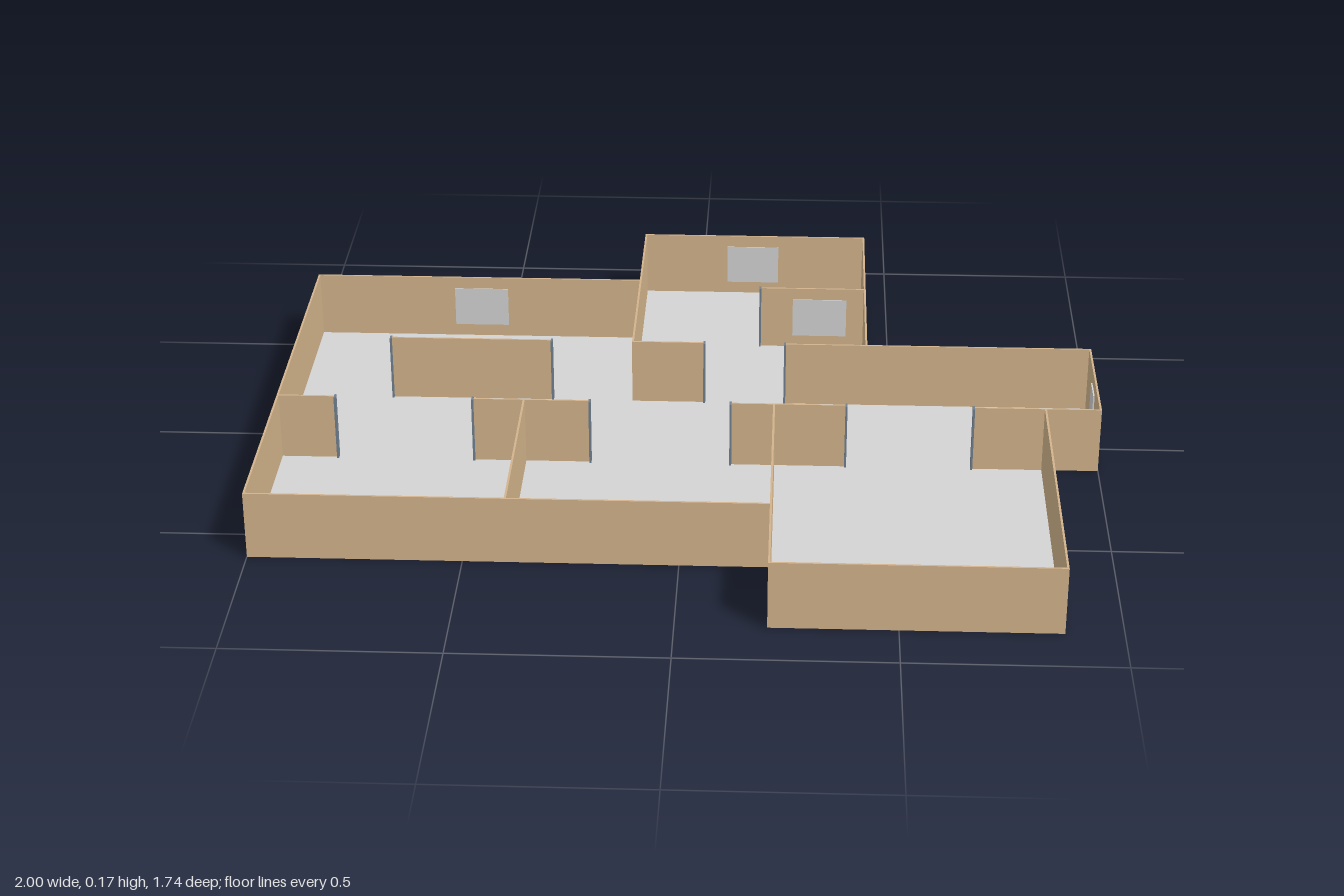
import * as THREE from 'three';

const HEIGHT = 0.168, THICK = 0.005;

export function createModel() {
  const model = new THREE.Group();
  model.name = 'floorPlan';

  const tan = new THREE.MeshStandardMaterial({ color: 0xd2b48c });
  tan.name = 'tan wall';
  const grey = new THREE.MeshStandardMaterial({ color: 0xd3d3d3, side: THREE.DoubleSide });
  grey.name = 'light grey';
  const slate = new THREE.MeshStandardMaterial({ color: 0x708090 });
  slate.name = 'slate jamb';

  function box(name, material, x0, x1, y0, y1, z0, z1) {
    const mesh = new THREE.Mesh(new THREE.BoxGeometry(x1 - x0, y1 - y0, z1 - z0), material);
    mesh.position.set((x0 + x1) / 2, (y0 + y1) / 2, (z0 + z1) / 2);
    mesh.name = name;
    model.add(mesh);
  }

  // Walls along x or z; the given line is the wall's centre
  const t = THICK / 2;
  const wallX = (name, z, x0, x1) => box(name, tan, x0 - t, x1 + t, 0.001, HEIGHT, z - t, z + t);
  const wallZ = (name, x, z0, z1) => box(name, tan, x - t, x + t, 0.001, HEIGHT, z0 + t, z1 - t);

  // Floor and outer walls share one outline of (x, z) corners
  const outline = [
    [-0.997, -0.577], [-0.15, -0.577], [-0.15, -0.868], [0.437, -0.868],
    [0.437, -0.215], [0.997, -0.215], [0.997, 0.112], [0.865, 0.112],
    [0.865, 0.865], [0.21, 0.865], [0.21, 0.602], [-0.997, 0.602],
  ];
  const shape = new THREE.Shape(outline.map(([x, z]) => new THREE.Vector2(x, -z)));
  const floor = new THREE.Mesh(new THREE.ShapeGeometry(shape).rotateX(-Math.PI / 2), grey);
  floor.name = 'floor';
  model.add(floor);

  outline.forEach(([xa, za], i) => {
    const [xb, zb] = outline[(i + 1) % outline.length];
    if (za === zb) wallX('outerWall', za, Math.min(xa, xb), Math.max(xa, xb));
    else wallZ('outerWall', xa, Math.min(za, zb), Math.max(za, zb));
  });

  // Inner walls beside the hallway: z, x start, x end, and which ends meet a doorway
  const innerWalls = [
    [-0.215, -0.757, -0.36, true, true],
    [-0.215, -0.15, 0.025, false, true],
    [-0.215, 0.238, 0.437, true, false],
    [-0.543, 0.17, 0.437, true, false],
    [0.112, -0.997, -0.862, false, true],
    [0.112, -0.517, -0.242, true, true],
    [0.112, 0.11, 0.38, true, true],
    [0.112, 0.697, 0.865, true, false],
  ];
  for (const [z, x0, x1, startDoor, endDoor] of innerWalls) {
    wallX('innerWall', z, x0, x1);
    for (const [x, open, dir] of [[x0, startDoor, -1], [x1, endDoor, 1]]) {
      if (!open) continue;
      const cx = x + dir * THICK;
      box('doorJamb', slate, cx - t, cx + t, 0.001, HEIGHT, z - 0.009, z + 0.009);
    }
  }

  // Dividing walls between rooms
  wallZ('dividingWall', -0.397, 0.112, 0.602);
  wallZ('dividingWall', 0.21, 0.112, 0.602);
  wallZ('dividingWall', -0.15, -0.577, -0.215);

  // Window panes on the inside faces: x start, x end, wall z, facing direction
  const panes = [
    [-0.64, -0.5, -0.577, 1], [0.07, 0.208, -0.868, 1], [0.25, 0.39, -0.543, 1],
    [-0.757, -0.618, 0.602, -1], [-0.135, 0.003, 0.602, -1], [0.487, 0.625, 0.865, -1],
  ];
  for (const [x0, x1, z, dir] of panes) {
    const c = z + dir * (t + 0.001);
    box('windowPane', grey, x0, x1, 0.033, 0.137, c - 0.001, c + 0.001);
  }
  box('sideWindowPane', grey, 0.991, 0.9945, 0.033, 0.137, -0.09, -0.02);

  return model;
}
